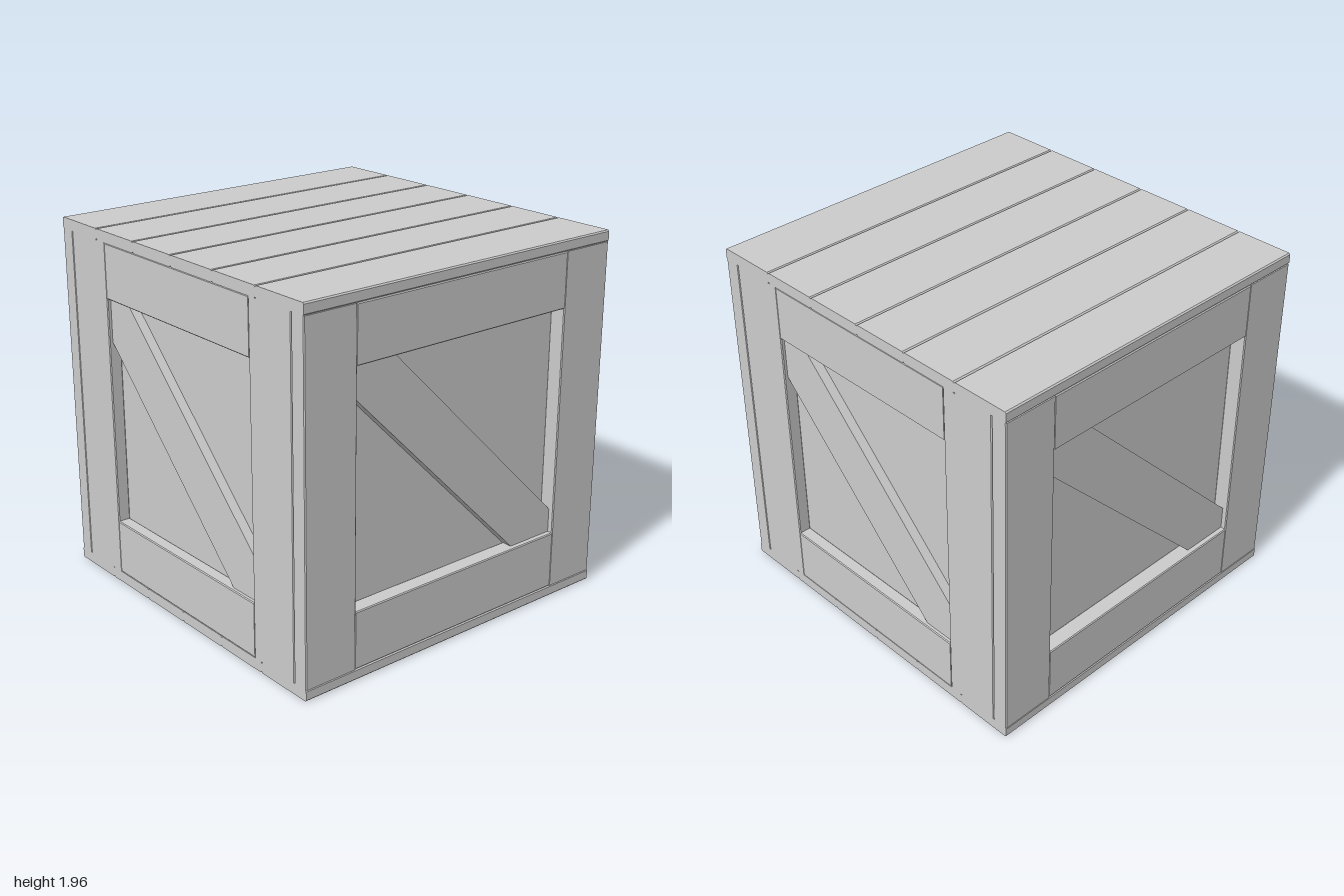
import * as THREE from 'three';

const material = new THREE.MeshStandardMaterial({ color: 0xcccccc, flatShading: true });
const H = 1.96, HX = 1, HZ = 0.985; // height, half width, half depth
const LOW = 0.06, HIGH = 1.9; // frame bottom and top

function addMesh(parent, name, geometry) {
  const mesh = new THREE.Mesh(geometry, material);
  mesh.name = name;
  parent.add(mesh);
  return mesh;
}

// Board with chamfered long edges: outline [x0,x1] x [y0,y1], running from z0 to z1
function boardGeometry(x0, x1, y0, y1, z0, z1, c = 0.005) {
  const shape = new THREE.Shape([
    [x0 + c, y0], [x1 - c, y0], [x1, y0 + c], [x1, y1 - c],
    [x1 - c, y1], [x0 + c, y1], [x0, y1 - c], [x0, y0 + c],
  ].map(([x, y]) => new THREE.Vector2(x, y)));
  return new THREE.ExtrudeGeometry(shape, { depth: z1 - z0, bevelEnabled: false }).translate(0, 0, z0);
}

// Upright or rail lying in the plane of a wall
function frameBoard(parent, name, x0, x1, y0, y1, z0, z1) {
  if (y1 - y0 > x1 - x0) {
    const g = boardGeometry(x0, x1, -z1, -z0, y0, y1); // long axis upright
    addMesh(parent, name, g.rotateX(-Math.PI / 2));
  } else {
    const g = boardGeometry(-z1, -z0, y0, y1, x0, x1); // long axis across
    addMesh(parent, name, g.rotateY(Math.PI / 2));
  }
}

// One wall facing +z: two uprights, two rails and a diagonal brace
function createWall({ name, inner, outer, front, depth, railLow, railHigh, brace, braceInset }) {
  const wall = new THREE.Group();
  wall.name = name;
  const back = front - depth;
  frameBoard(wall, 'rightUpright', -outer, -inner, LOW, HIGH, back, front);
  frameBoard(wall, 'leftUpright', inner, outer, LOW, HIGH, back, front);
  frameBoard(wall, 'topRail', -inner, inner, railHigh, HIGH, back, front);
  frameBoard(wall, 'bottomRail', -inner, inner, LOW, railLow, back, front);
  const shape = new THREE.Shape(brace.map(([x, y]) => new THREE.Vector2(x, y)));
  const g = new THREE.ExtrudeGeometry(shape, { depth: depth - braceInset, bevelEnabled: false });
  addMesh(wall, 'diagonalBrace', g.translate(0, 0, back));
  return wall;
}

export function createModel() {
  const crate = new THREE.Group();
  crate.name = 'crate';

  // Inner box whose faces form the recessed panels
  const panels = new THREE.BoxGeometry(1.82, HIGH - LOW, 1.83);
  addMesh(crate, 'innerPanels', panels.translate(0, (LOW + HIGH) / 2, 0));

  // Lid and floor planks running front to back
  const seams = [-HX, -0.675, -0.34, -0.013, 0.325, 0.655, HX];
  for (const [name, y0, y1] of [['floorPlank', 0, LOW], ['lidPlank', HIGH, H]]) {
    for (let i = 0; i < 6; i++) {
      addMesh(crate, name, boardGeometry(seams[i], seams[i + 1], y0, y1, -HZ, HZ, 0.007));
    }
  }

  // Four walls: opposite ones are half-turn copies
  const frontSpec = {
    inner: 0.6, outer: 0.91, front: HZ, depth: 0.07, railLow: 0.36, railHigh: 1.605, braceInset: 0.02,
    brace: [[-0.6, 1.605], [-0.6, 1.37], [0.41, 0.36], [0.6, 0.36], [0.6, 0.58], [-0.43, 1.605]],
  };
  const sideSpec = {
    inner: 0.68, outer: HZ, front: HX, depth: 0.09, railLow: 0.37, railHigh: 1.605, braceInset: 0.03,
    brace: [[-0.68, 1.605], [-0.68, 1.45], [0.4, 0.37], [0.68, 0.37], [0.68, 0.5], [-0.43, 1.605]],
  };
  ['frontWall', 'leftWall', 'backWall', 'rightWall'].forEach((name, i) => {
    const wall = createWall({ name, ...(i % 2 ? sideSpec : frontSpec) });
    wall.rotation.y = i * Math.PI / 2;
    crate.add(wall);
  });

  return crate;
}
